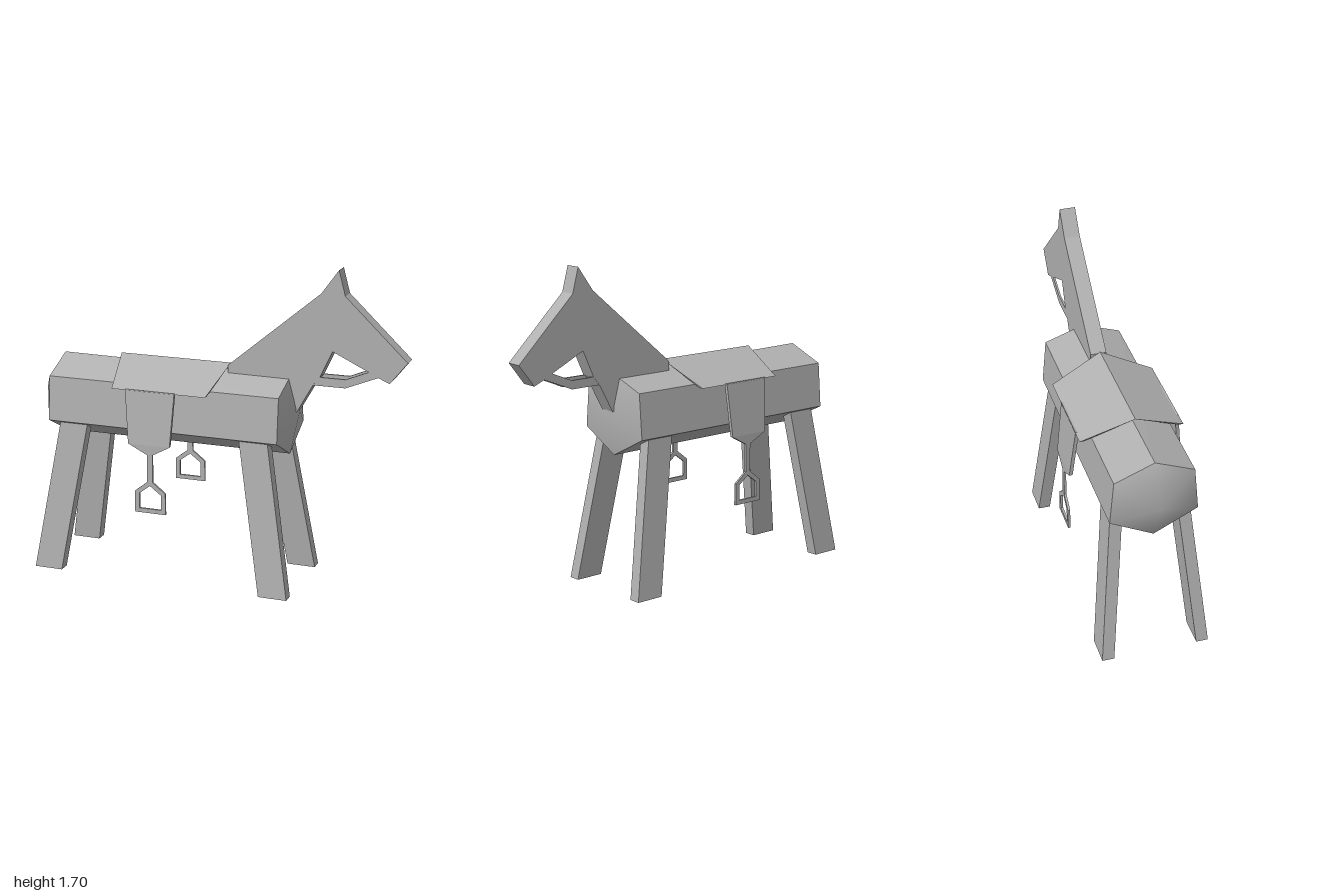
import * as THREE from 'three';

const grey = new THREE.MeshStandardMaterial({ color: 0xb0b0b0 });
grey.name = 'plain grey';

const toPoints = (list) => list.map(([x, y]) => new THREE.Vector2(x, y));

// Flat board cut from a side outline; its vertices then shift sideways by lean(y, z).
function board(name, outline, depth, lean = () => 0, hole = null) {
  const shape = new THREE.Shape(toPoints(outline));
  if (hole) shape.holes.push(new THREE.Path(toPoints(hole)));
  const geo = new THREE.ExtrudeGeometry(shape, { depth, bevelEnabled: false });
  geo.translate(0, 0, -depth / 2);
  const p = geo.attributes.position;
  for (let i = 0; i < p.count; i++) p.setZ(i, p.getZ(i) + lean(p.getY(i), p.getZ(i)));
  geo.computeVertexNormals();
  const mesh = new THREE.Mesh(geo, grey);
  mesh.name = name;
  return mesh;
}

function fromTriangles(name, triangles, smooth) {
  const geo = new THREE.BufferGeometry();
  if (smooth) {
    // shared vertices give a softly shaded cap
    const unique = [...new Set(triangles.flat())];
    geo.setAttribute('position', new THREE.Float32BufferAttribute(unique.flat(), 3));
    geo.setIndex(triangles.flat().map((v) => unique.indexOf(v)));
  } else {
    geo.setAttribute('position', new THREE.Float32BufferAttribute(triangles.flat(2), 3));
  }
  geo.computeVertexNormals();
  const mesh = new THREE.Mesh(geo, grey);
  mesh.name = name;
  return mesh;
}

// Six-sided barrel with a pointed cap at each end
function createBody() {
  const body = new THREE.Group();
  body.name = 'body';
  const ring = (x, top) => [
    [x, top, -0.004], [x, 1.057, 0.2], [x, 0.82, 0.222],
    [x, 0.705, -0.004], [x, 0.82, -0.228], [x, 1.057, -0.208],
  ];
  const rear = ring(-0.89, 1.14);
  const front = ring(0.38, 1.128);
  const rearTip = [-1, 0.94, -0.004];
  const frontTip = [0.43, 0.94, -0.004];
  const sides = [], rearCap = [], frontCap = [];
  for (let i = 0; i < 6; i++) {
    const j = (i + 1) % 6;
    sides.push([rear[i], rear[j], front[j]], [rear[i], front[j], front[i]]);
    rearCap.push([rearTip, rear[j], rear[i]]);
    frontCap.push([frontTip, front[i], front[j]]);
  }
  body.add(
    fromTriangles('barrel', sides, false),
    fromTriangles('rumpCap', rearCap, true),
    fromTriangles('chestCap', frontCap, true),
  );
  return body;
}

export function createModel() {
  const model = new THREE.Group();
  model.name = 'woodenHorse';
  model.add(createBody());

  // Neck and head cut from one thick board
  const headOutline = [
    [0.05, 1.16], [0.05, 1.05], [0.3, 0.95], [0.425, 0.945], [0.51, 1.097], [0.545, 1.14],
    [0.61, 1.28], [0.8, 1.19], [0.85, 1.165], [0.91, 1.14], [1, 1.255],
    [0.67, 1.57], [0.635, 1.7], [0.545, 1.575],
  ];
  model.add(board('neckAndHead', headOutline, 0.084, () => -0.01));

  for (const s of [1, -1]) {
    const side = s > 0 ? 'left' : 'right';

    // Reins
    const rein = [
      [0.5, 1.095], [0.68, 1.095], [0.85, 1.165], [0.8, 1.19], [0.68, 1.14], [0.53, 1.14],
    ];
    model.add(board(side + 'Rein', rein, 0.01, () => -0.01 + s * 0.036));

    // Splayed legs, ending inside the barrel
    const legLean = (y) => -0.006 + s * (0.25 - 0.095 * y);
    const rearLeg = [[-0.97, 0], [-0.815, 0], [-0.674, 0.84], [-0.829, 0.84]];
    const frontLeg = [[0.303, 0], [0.457, 0], [0.317, 0.84], [0.163, 0.84]];
    model.add(board(side + 'RearLeg', rearLeg, 0.063, legLean));
    model.add(board(side + 'FrontLeg', frontLeg, 0.063, legLean));

    // Sloping half of the saddle, meeting the other half at the ridge
    const saddle = [[-0.505, 1.043], [0.01, 1.043], [0.055, 1.165], [-0.56, 1.165]];
    const saddleLean = (y, z) =>
      s * Math.max(0, 0.269 * (1.165 - y) / 0.122 - 0.0125 + s * z) - z;
    model.add(board(side + 'SaddleHalf', saddle, 0.025, saddleLean));

    // Hanging flap, upright below its corners
    const flap = [
      [-0.405, 0.765], [-0.285, 0.705], [-0.175, 0.765], [-0.158, 1.048], [-0.43, 1.048],
    ];
    const flapLean = (y) => s * (0.288 - 0.029 * Math.max(0, y - 0.765) / 0.28);
    model.add(board(side + 'SaddleFlap', flap, 0.018, flapLean));

    // Stirrup strap and ring
    const strap = [[-0.3, 0.555], [-0.27, 0.555], [-0.27, 0.72], [-0.3, 0.72]];
    model.add(board(side + 'StirrupStrap', strap, 0.012, () => s * 0.291));
    const ring = [
      [-0.37, 0.395], [-0.2, 0.395], [-0.2, 0.51], [-0.27, 0.565], [-0.3, 0.565], [-0.37, 0.51],
    ];
    const opening = [
      [-0.345, 0.418], [-0.345, 0.5], [-0.285, 0.545], [-0.225, 0.5], [-0.225, 0.418],
    ];
    model.add(board(side + 'Stirrup', ring, 0.012, () => s * 0.291, opening));
  }
  return model;
}
